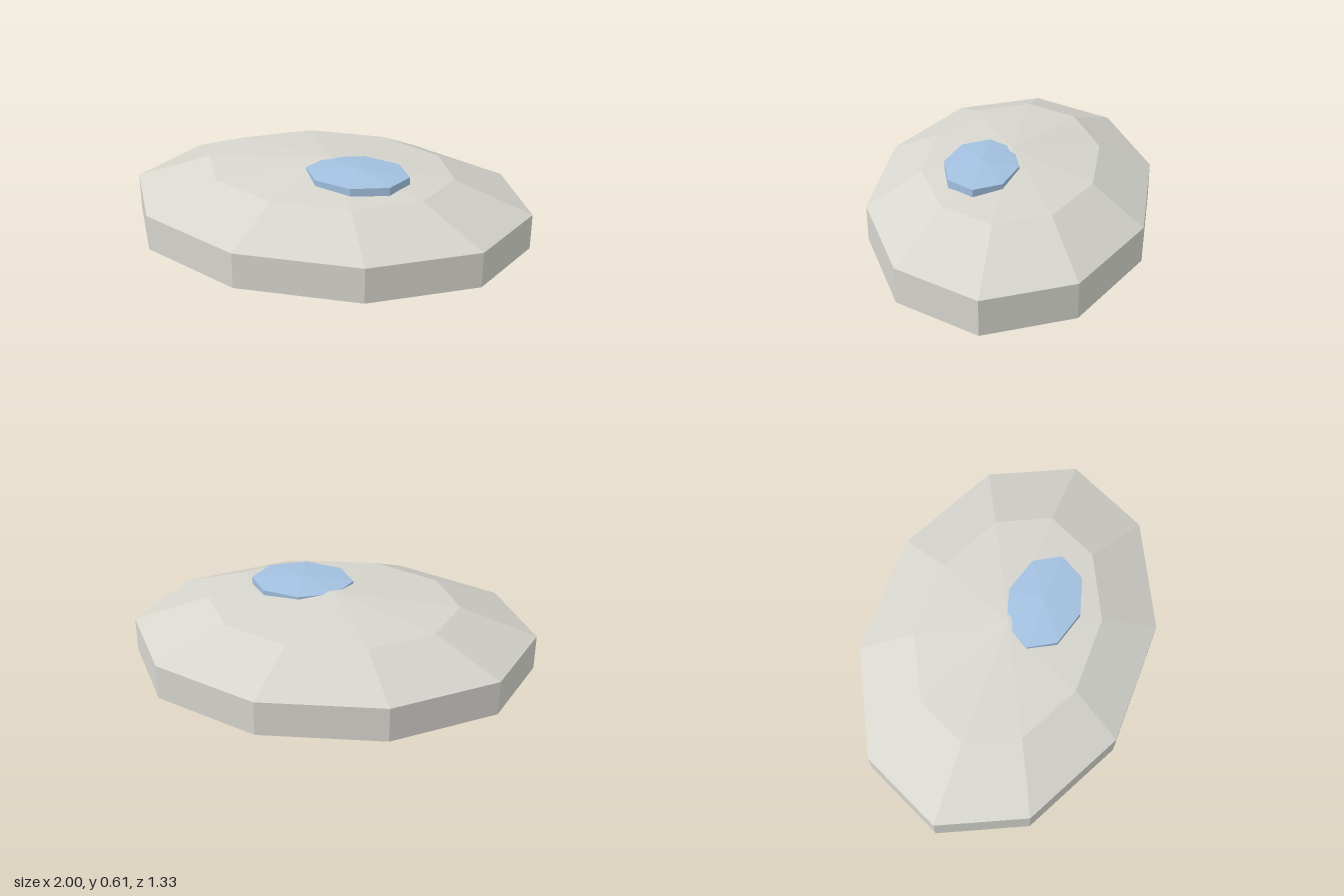
import * as THREE from 'three';

// Faceted ellipsoid: a coarse sphere squashed to the given radii.
// With odd rings no vertex reaches the equator, so the radii exceed the visible extents.
function facetedEllipsoid(name, material, [rx, ry, rz], [x, y, z], sides, rings) {
  const sphere = new THREE.SphereGeometry(1, sides, rings);
  sphere.scale(rx, ry, rz);
  const geometry = sphere.toNonIndexed();
  geometry.computeVertexNormals();
  const mesh = new THREE.Mesh(geometry, material);
  mesh.name = name;
  mesh.position.set(x, y, z);
  return mesh;
}

export function createModel() {
  const stone = new THREE.MeshStandardMaterial({ color: 0xd6d5ce, flatShading: true });
  stone.name = 'pale stone grey';
  const blue = new THREE.MeshStandardMaterial({ color: 0xa3c1e0, flatShading: true });
  blue.name = 'light blue';

  const group = new THREE.Group();
  group.name = 'pebble';
  // Flattened ten-sided body
  group.add(facetedEllipsoid('body', stone, [1.0515, 0.297, 0.736], [0, 0.297, 0], 10, 5));
  // Eight-sided disc set off-centre into the top
  group.add(facetedEllipsoid('topSpot', blue, [0.292, 0.042, 0.21], [0.165, 0.568, 0.124], 8, 3));
  return group;
}
